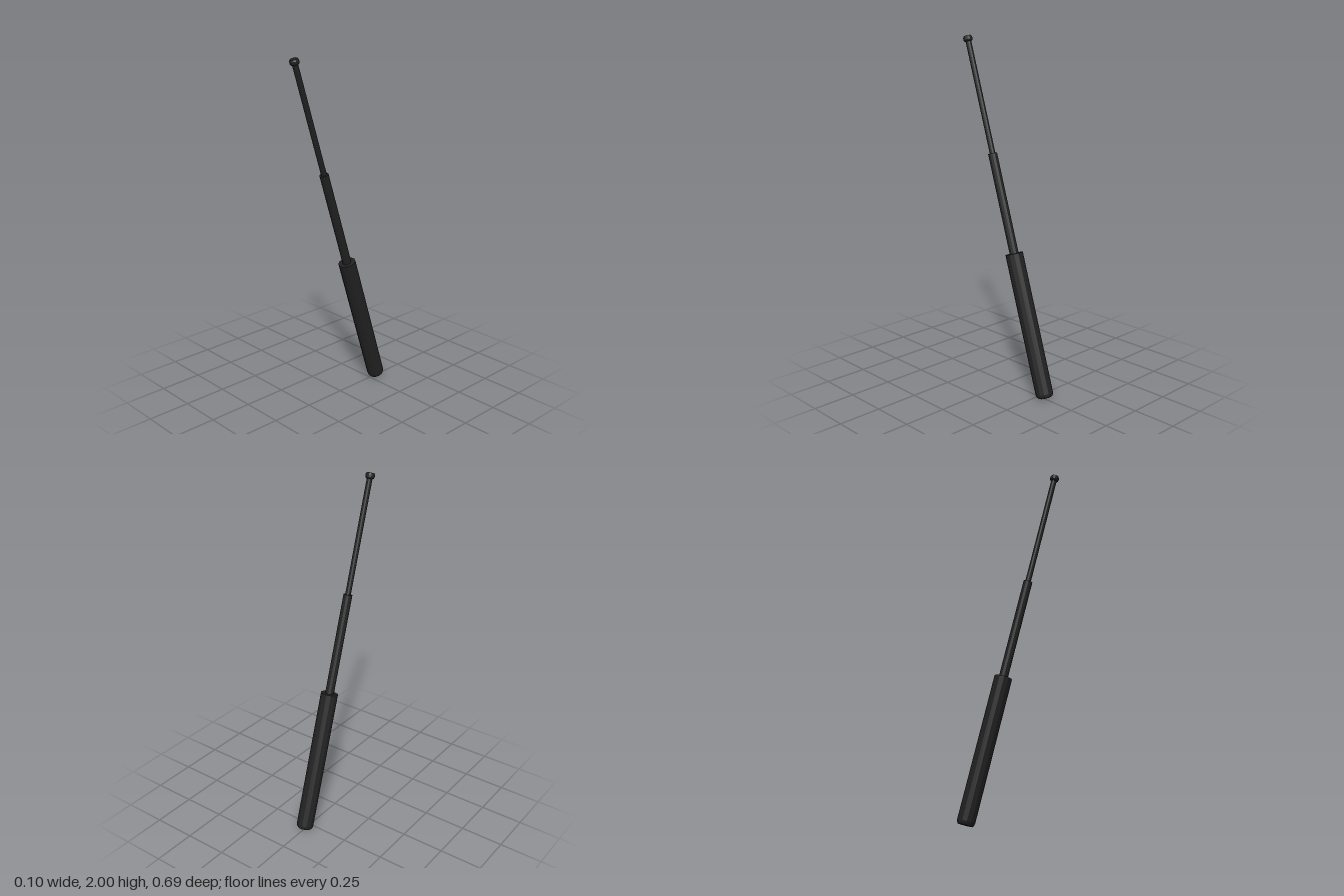
import * as THREE from 'three';

const SIDES = 12;

export function createModel() {
  const model = new THREE.Group();
  model.name = 'telescopicBaton';
  const black = new THREE.MeshStandardMaterial({ color: 0x222222 });
  black.name = 'matte black';
  black.flatShading = true;

  // Faceted part turned around the baton axis from [radius, height] points
  function turned(name, profile) {
    const points = profile.map(([r, y]) => new THREE.Vector2(r, y));
    const mesh = new THREE.Mesh(new THREE.LatheGeometry(points, SIDES, Math.PI / SIDES), black);
    mesh.name = name;
    baton.add(mesh);
  }

  // Leaning axis, rising towards the front
  const baton = new THREE.Group();
  baton.name = 'baton';
  baton.position.set(0, 0.012, -0.303);
  baton.rotation.x = Math.atan2(0.628, 1.982);
  model.add(baton);

  // Grip with a chamfered butt
  turned('handle', [[0, 0], [0.04, 0], [0.047, 0.008], [0.05, 0.022], [0.05, 0.832], [0, 0.832]]);
  // Two extending sections
  turned('middleShaft', [[0.0255, 0.82], [0.0255, 1.408], [0, 1.408]]);
  turned('upperShaft', [[0.016, 1.4], [0.016, 2.06]]);
  // Rounded end knob
  turned('tipKnob', [[0.015, 2.046], [0.023, 2.05], [0.026, 2.057], [0.026, 2.07], [0.021, 2.079], [0, 2.079]]);

  return model;
}
